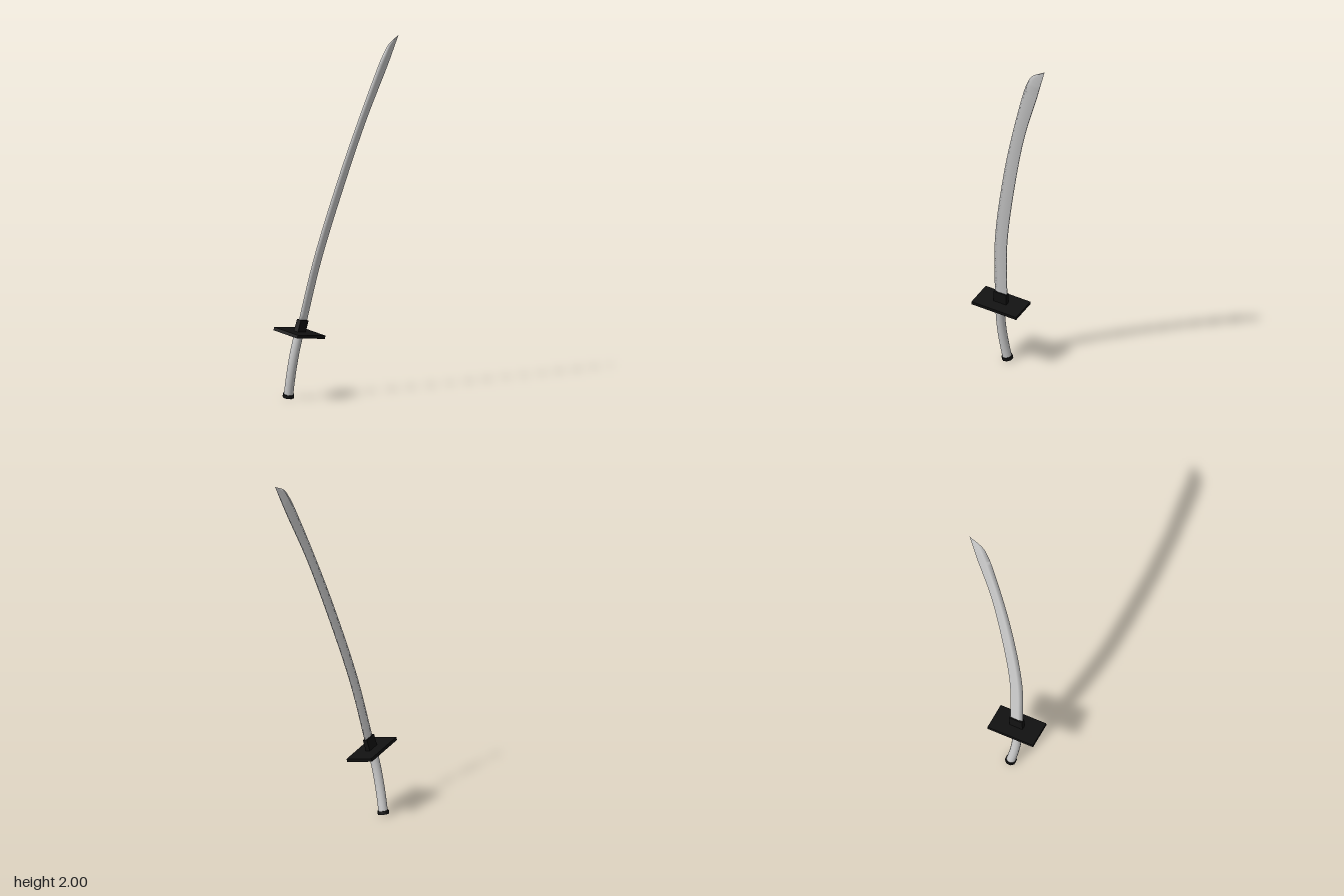
import * as THREE from 'three';

// The sword lies in one tilted plane: SIDE is the plane's normal, UP the grip axis at the guard.
const SIDE = new THREE.Vector3(0.977, -0.203, -0.06).normalize();
const UP = new THREE.Vector3(0.1986, 1, -0.15).normalize();

// Point of the sword plane at a given height and depth
const onPlane = (y, z) => new THREE.Vector3((-0.19 + 0.203 * y + 0.06 * z) / 0.977, y, z);
const planeCurve = (pts) => new THREE.CatmullRomCurve3(pts.map(([y, z]) => onPlane(y, z)));

// Turns a mesh so its x is SIDE and its y follows the given axis
function place(mesh, position, axis) {
  const across = new THREE.Vector3().crossVectors(SIDE, axis);
  mesh.quaternion.setFromRotationMatrix(new THREE.Matrix4().makeBasis(SIDE, axis, across));
  mesh.position.copy(position);
  return mesh;
}

// Curved blade lofted between its back and its cutting edge
function bladeGeometry() {
  const back = planeCurve([[0.42, 0.128], [0.77, 0.083], [1.21, -0.027], [1.54, -0.13],
    [1.81, -0.24], [1.88, -0.267], [1.94, -0.291], [2, -0.315]]);
  const edge = planeCurve([[0.43, 0.203], [0.79, 0.156], [1.23, 0.046], [1.56, -0.06],
    [1.85, -0.168], [1.905, -0.195], [1.955, -0.23], [2, -0.315]]);
  // Section: share of the width from back to edge, share of the half thickness
  const section = [[1, 0], [0.65, 1], [0, 0.65], [0, -0.65], [0.65, -1]];
  const steps = 56, n = section.length, pos = [], index = [];
  for (let i = 0; i <= steps; i++) {
    const t = i / steps;
    const a = back.getPoint(t), b = edge.getPoint(t);
    const half = 0.007 * Math.min(1, (1 - t) * 3.5);
    for (const [w, s] of section) {
      pos.push(...a.clone().lerp(b, w).addScaledVector(SIDE, s * half).toArray());
    }
    if (i === steps) break;
    for (let j = 0; j < n; j++) {
      const p = i * n + j, q = i * n + (j + 1) % n;
      index.push(p, q, q + n, p, q + n, p + n);
    }
  }
  const g = new THREE.BufferGeometry();
  g.setAttribute('position', new THREE.Float32BufferAttribute(pos, 3));
  g.setIndex(index);
  g.computeVertexNormals();
  return g;
}

export function createModel() {
  const group = new THREE.Group();
  const grey = new THREE.MeshStandardMaterial({ color: 0xcccccc });
  const greyOpen = new THREE.MeshStandardMaterial({ color: 0xcccccc, side: THREE.DoubleSide });
  const black = new THREE.MeshStandardMaterial({ color: 0x111111 });
  const add = (name, geometry, material) => {
    const mesh = new THREE.Mesh(geometry, material);
    mesh.name = name;
    group.add(mesh);
    return mesh;
  };

  add('blade', bladeGeometry(), grey);

  // Collar and rectangular guard
  place(add('collar', new THREE.BoxGeometry(0.026, 0.08, 0.08), black), onPlane(0.405, 0.168), UP);
  place(add('guard', new THREE.BoxGeometry(0.162, 0.018, 0.28), black), onPlane(0.371, 0.1725), UP);

  // Slightly bowed grip
  const grip = planeCurve([[0.016, 0.178], [0.11, 0.186], [0.2, 0.189], [0.29, 0.186], [0.37, 0.178]]);
  add('handle', new THREE.TubeGeometry(grip, 16, 0.026, 16), greyOpen);

  // Eight-sided end cap
  const cap = new THREE.CylinderGeometry(0.032, 0.032, 0.02, 8).rotateY(Math.PI / 8);
  place(add('pommel', cap, black), onPlane(0.0165, 0.178), grip.getTangent(0));

  return group;
}
